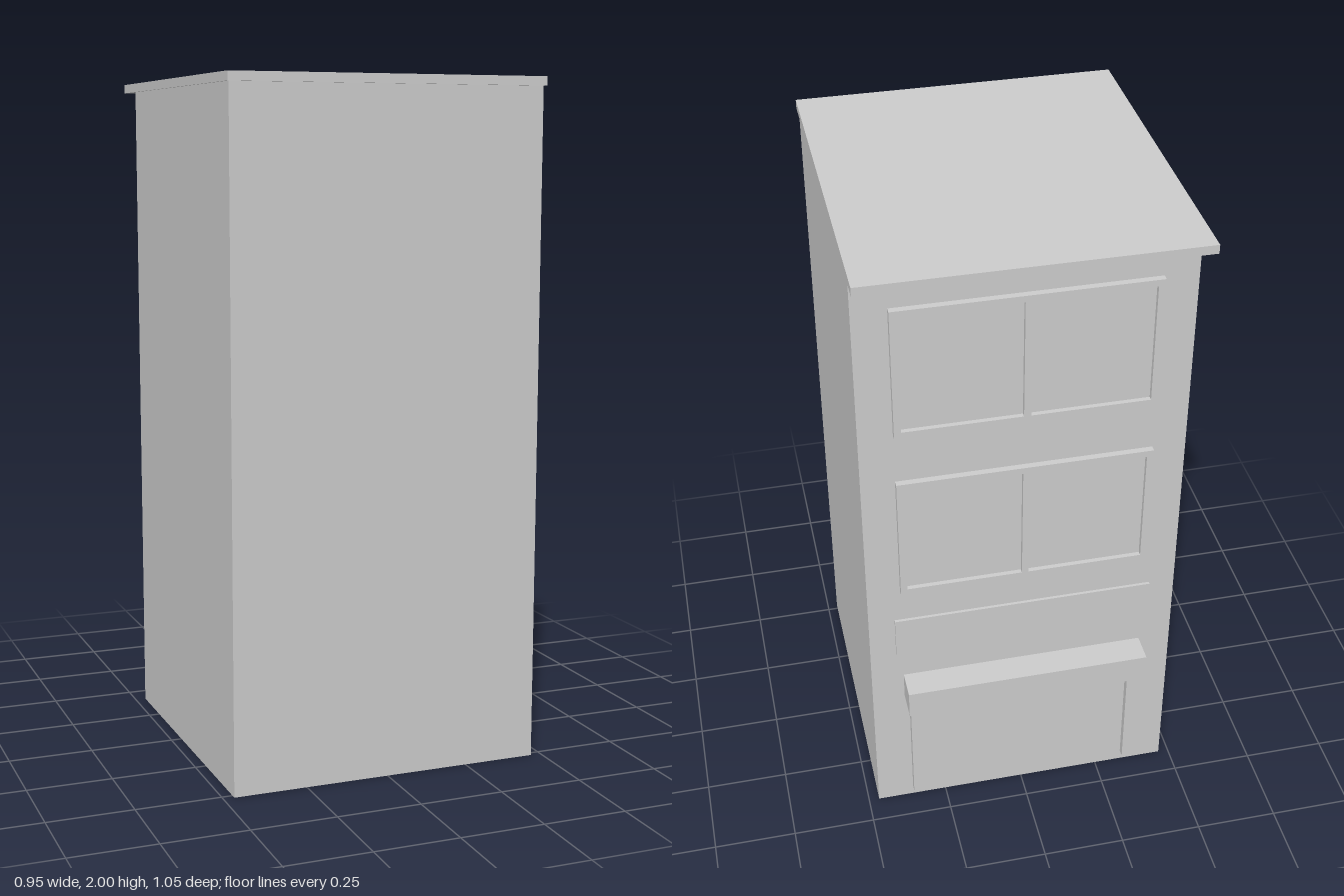
import * as THREE from 'three';

const BACK = -0.417; // plane of the detailed wall

export function createModel() {
  const group = new THREE.Group();
  group.name = 'shopBuilding';
  const material = new THREE.MeshStandardMaterial({ color: 0xcccccc, flatShading: true });

  // Box given by its limits on each axis
  const box = (name, [x0, x1], [y0, y1], [z0, z1], parent = group) => {
    const mesh = new THREE.Mesh(new THREE.BoxGeometry(x1 - x0, y1 - y0, z1 - z0), material);
    mesh.position.set((x0 + x1) / 2, (y0 + y1) / 2, (z0 + z1) / 2);
    mesh.name = name;
    parent.add(mesh);
  };

  // Main block and overhanging flat roof
  box('walls', [-0.468, 0.468], [0, 1.974], [BACK, 0.517]);
  box('roof', [-0.474, 0.474], [1.974, 2], [-0.527, 0.527]);

  // Double windows: a frame with two openings over a recessed pane
  const addWindow = (name, y0, y1) => {
    const w = 0.37, bar = 0.02, half = 0.01;
    const rect = (path, l, r, b, t) =>
      path.moveTo(l, b).lineTo(r, b).lineTo(r, t).lineTo(l, t).closePath();
    const shape = rect(new THREE.Shape(), -w, w, y0, y1);
    for (const [l, r] of [[-w + bar, -half], [half, w - bar]]) {
      shape.holes.push(rect(new THREE.Path(), l, r, y0 + bar, y1 - bar));
    }
    const unit = new THREE.Group();
    unit.name = name;
    const frame = new THREE.Mesh(
      new THREE.ExtrudeGeometry(shape, { depth: 0.019, bevelEnabled: false }), material);
    frame.name = 'windowFrame';
    frame.position.z = BACK - 0.019;
    unit.add(frame);
    box('windowPane', [-w + bar, w - bar], [y0 + bar, y1 - bar], [BACK - 0.005, BACK], unit);
    group.add(unit);
  };
  addWindow('upperWindow', 1.45, 1.857);
  addWindow('lowerWindow', 0.882, 1.29);

  // Sign board, canopy and its two posts
  box('signBoard', [-0.39, 0.39], [0.63, 0.77], [BACK - 0.009, BACK]);
  box('canopy', [-0.37, 0.37], [0.45, 0.54], [-0.505, BACK]);
  for (const side of [-1, 1]) {
    const x = side * 0.345;
    box(side > 0 ? 'leftPost' : 'rightPost', [x - 0.011, x + 0.011], [0.035, 0.45], [-0.44, BACK]);
  }
  return group;
}
